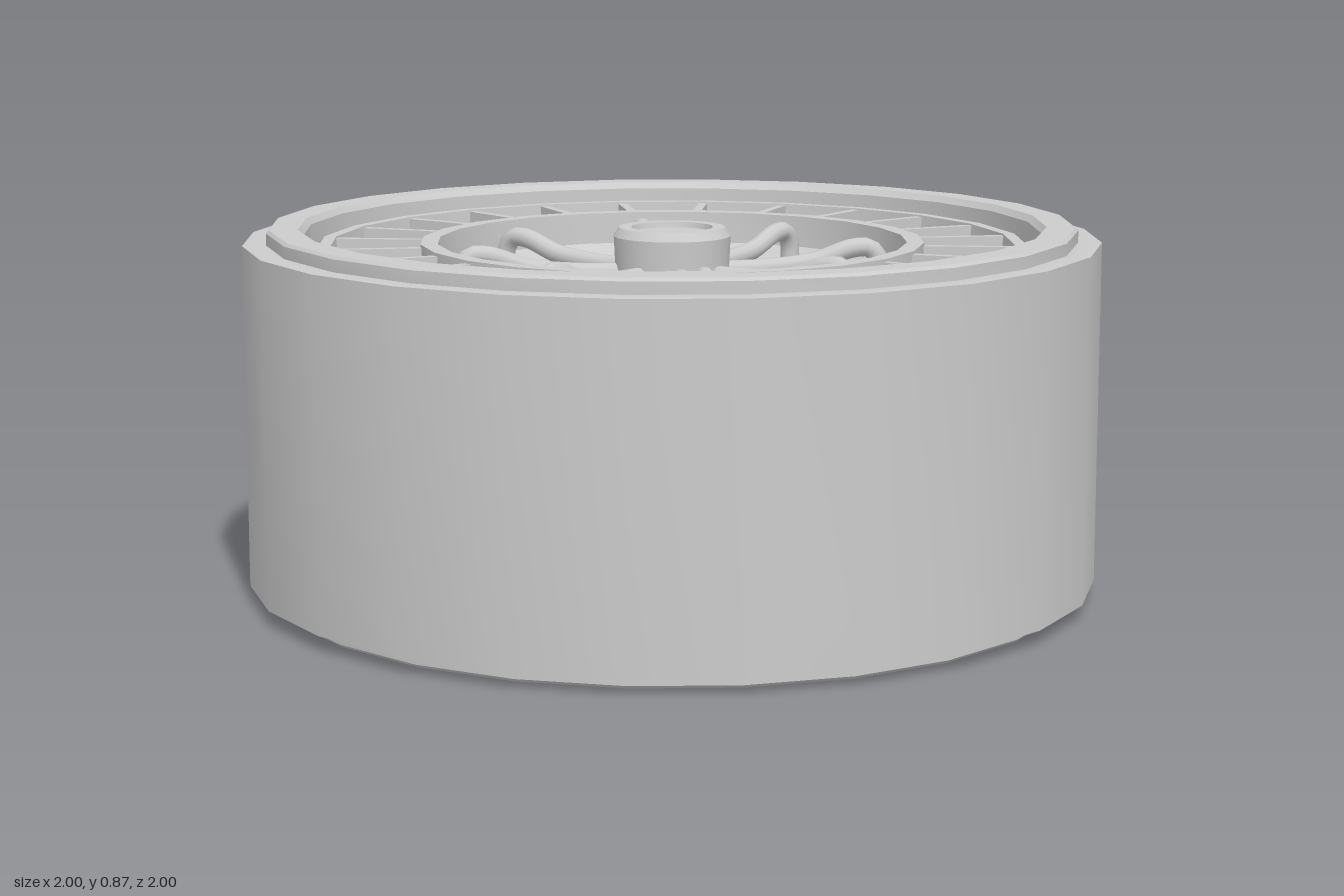
import * as THREE from 'three';
import { toCreasedNormals } from 'three/addons/utils/BufferGeometryUtils.js';

const MID = 0.435; // height of the wheel's middle plane
const SIDES = 24;
const material = new THREE.MeshStandardMaterial({ color: 0xcccccc });

function add(parent, name, geometry) {
  const mesh = new THREE.Mesh(geometry, material);
  mesh.name = name;
  parent.add(mesh);
  return mesh;
}

// Turns a half profile [radius, height above middle], mirrored below the middle plane
function turned(half, closed) {
  const upper = half.map(([r, h]) => new THREE.Vector2(r, h));
  const lower = half.map(([r, h]) => new THREE.Vector2(r, -h)).reverse();
  const points = [...lower, ...upper];
  if (closed) points.push(lower[0].clone());
  return toCreasedNormals(new THREE.LatheGeometry(points, SIDES), 0.45);
}

// Box lying along +x from r0 to r1, turned about the axis
function radialBox(parent, name, r0, r1, height, width, y, angle) {
  const geometry = new THREE.BoxGeometry(r1 - r0, height, width);
  geometry.translate((r0 + r1) / 2, y, 0);
  const mesh = add(parent, name, geometry);
  mesh.rotation.y = angle;
  return mesh;
}

// Everything that repeats on both faces of the wheel
function createFace() {
  const face = new THREE.Group();

  // Ribs between the two raised rings of the rim
  for (let i = 0; i < SIDES; i++) {
    radialBox(face, 'rimRib', 0.58, 0.81, 0.06, 0.022, 0.358, (i * Math.PI * 2) / SIDES);
  }

  // Bent spokes hooking from the hub into the bowl
  const path = new THREE.CatmullRomCurve3([
    [0.11, 0.32], [0.22, 0.322], [0.34, 0.335], [0.43, 0.365],
    [0.475, 0.365], [0.497, 0.335], [0.497, 0.24],
  ].map(([r, h]) => new THREE.Vector3(r, h, 0)));
  const spoke = new THREE.TubeGeometry(path, 28, 0.023, 10);
  for (let i = 0; i < 8; i++) {
    add(face, 'spoke', spoke).rotation.y = (i * Math.PI) / 4;
  }

  // Flat struts from the axle drum, each with an end block
  for (let quarter = 0; quarter < 4; quarter++) {
    for (const degrees of [30, 60]) {
      const angle = (quarter * Math.PI) / 2 + THREE.MathUtils.degToRad(degrees);
      radialBox(face, 'strut', 0.17, 0.33, 0.05, 0.045, 0.2, angle);
      radialBox(face, 'strutEnd', 0.32, 0.365, 0.12, 0.045, 0.175, angle);
    }
  }
  return face;
}

export function createModel() {
  const model = new THREE.Group();
  const wheel = new THREE.Group();
  wheel.name = 'wheel';
  wheel.position.y = MID;
  model.add(wheel);

  // Wide outer band with a raised lip
  add(wheel, 'tire', turned([
    [1, 0.4], [0.963, 0.403], [0.945, 0.4], [0.945, 0.428], [0.938, 0.435],
    [0.872, 0.435], [0.86, 0.42], [0.857, 0.33],
  ], true));

  // Rim with recessed ribbed panel and a bowl narrowing to the centre
  add(wheel, 'rim', turned([
    [0.86, 0.345], [0.832, 0.345], [0.828, 0.392], [0.8, 0.392], [0.795, 0.335],
    [0.59, 0.335], [0.59, 0.395], [0.55, 0.395], [0.545, 0.32], [0.49, 0.275],
    [0.43, 0.2], [0.41, 0.195], [0.405, 0.16], [0.35, 0.09], [0.27, 0.05], [0.235, 0.05],
  ], true));

  // Ring around the axle, tied in by the struts
  add(wheel, 'axleRing', turned([[0.275, 0.17], [0.265, 0.18], [0.237, 0.18]], true));

  // Axle drum and the hub running through it
  add(wheel, 'axleDrum', turned([
    [0.187, 0.275], [0.18, 0.285], [0.15, 0.285], [0.15, 0.265], [0, 0.265],
  ]));
  add(wheel, 'hub', turned([
    [0.13, 0.25], [0.138, 0.405], [0.125, 0.425], [0.096, 0.425], [0.093, 0.412], [0, 0.412],
  ]));

  const top = createFace();
  top.name = 'topFace';
  const bottom = createFace();
  bottom.name = 'bottomFace';
  bottom.rotation.x = Math.PI;
  wheel.add(top, bottom);
  return model;
}
